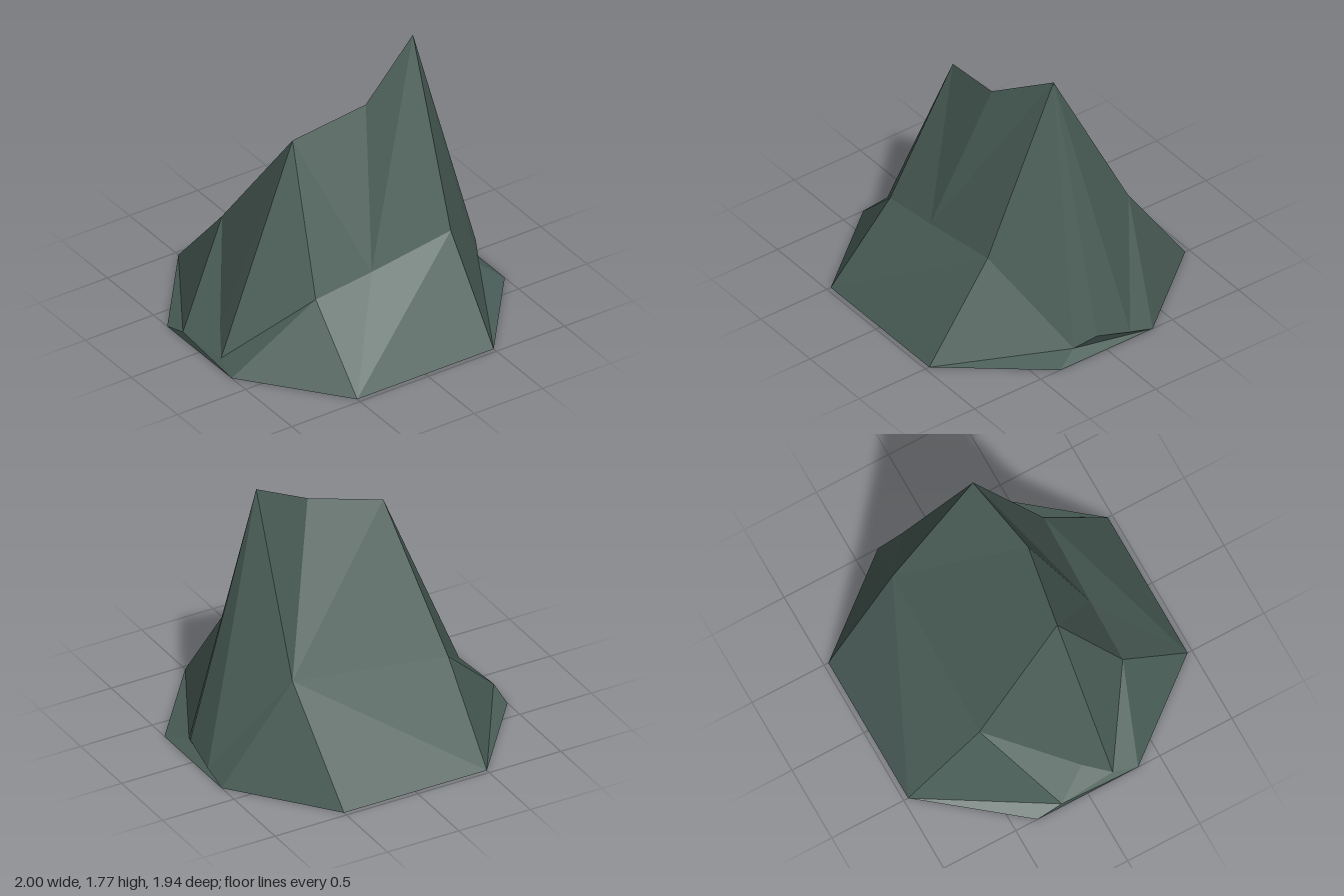
import * as THREE from 'three';

// Corner points of the rock: base ring, waist, side notches, ridge
const P = {
  // base octagon: a = +x side, b = -x side, numbered front to back
  a1: [0.5, 0, 0.97], a2: [1, 0, 0.35], a3: [1, 0, -0.35], a4: [0.5, 0, -0.97],
  b1: [-0.5, 0, 0.97], b2: [-1, 0, 0.35], b3: [-1, 0, -0.35], b4: [-0.5, 0, -0.97],
  // waist
  frontL: [0.49, 0.62, 0.52], frontMid: [-0.09, 0.53, 0.52], frontR: [-0.5, 0.48, 0.52],
  backL: [0.58, 0.7, -0.48], backR: [-0.51, 0.55, -0.48],
  // side notches
  notchL: [0.92, 0.045, 0.19], lipL: [0.985, 0.12, 0.06], footL: [1, 0.05, -0.18],
  notchR: [-0.97, 0.05, 0.19], lipR: [-0.87, 0.15, 0.03], footR: [-1, 0.05, -0.18],
  // ridge
  low: [-0.4, 1.38, 0.12], mid: [0.09, 1.5, 0.19], peak: [0.53, 1.77, 0.05],
};

// Each face group is a list of fans: first corner, then its rim counter-clockwise
const SIDES = {
  frontFace: [
    'frontMid low frontR', 'frontMid peak mid low', 'frontMid frontL peak',
    'b1 a1 frontL frontMid frontR',
  ],
  leftFace: [
    'peak frontL notchL lipL footL backL', 'frontL a1 notchL',
    'notchL a1 a2 a3 lipL', 'a3 footL lipL', 'backL footL a3 a4',
  ],
  backFace: ['backL mid peak', 'backL low mid', 'backL backR low', 'backL a4 b4 backR'],
  rightFace: [
    'low backR lipR notchR frontR', 'backR b4 footR lipR',
    'footR b4 b3 b2 notchR lipR', 'b2 frontR notchR', 'frontR b2 b1',
  ],
};

function facets(fans) {
  const pos = [];
  for (const fan of fans) {
    const [hub, ...rim] = fan.split(' ').map((k) => P[k]);
    for (let i = 0; i + 1 < rim.length; i++) pos.push(...hub, ...rim[i], ...rim[i + 1]);
  }
  const geo = new THREE.BufferGeometry();
  geo.setAttribute('position', new THREE.Float32BufferAttribute(pos, 3));
  geo.computeVertexNormals();
  return geo;
}

export function createModel() {
  const group = new THREE.Group();
  group.name = 'rock';
  // The shell is open underneath
  const stone = new THREE.MeshStandardMaterial({
    name: 'greenGreyStone', color: 0x4a5d57, flatShading: true, side: THREE.DoubleSide,
  });
  for (const [name, fans] of Object.entries(SIDES)) {
    const mesh = new THREE.Mesh(facets(fans), stone);
    mesh.name = name;
    group.add(mesh);
  }
  return group;
}
